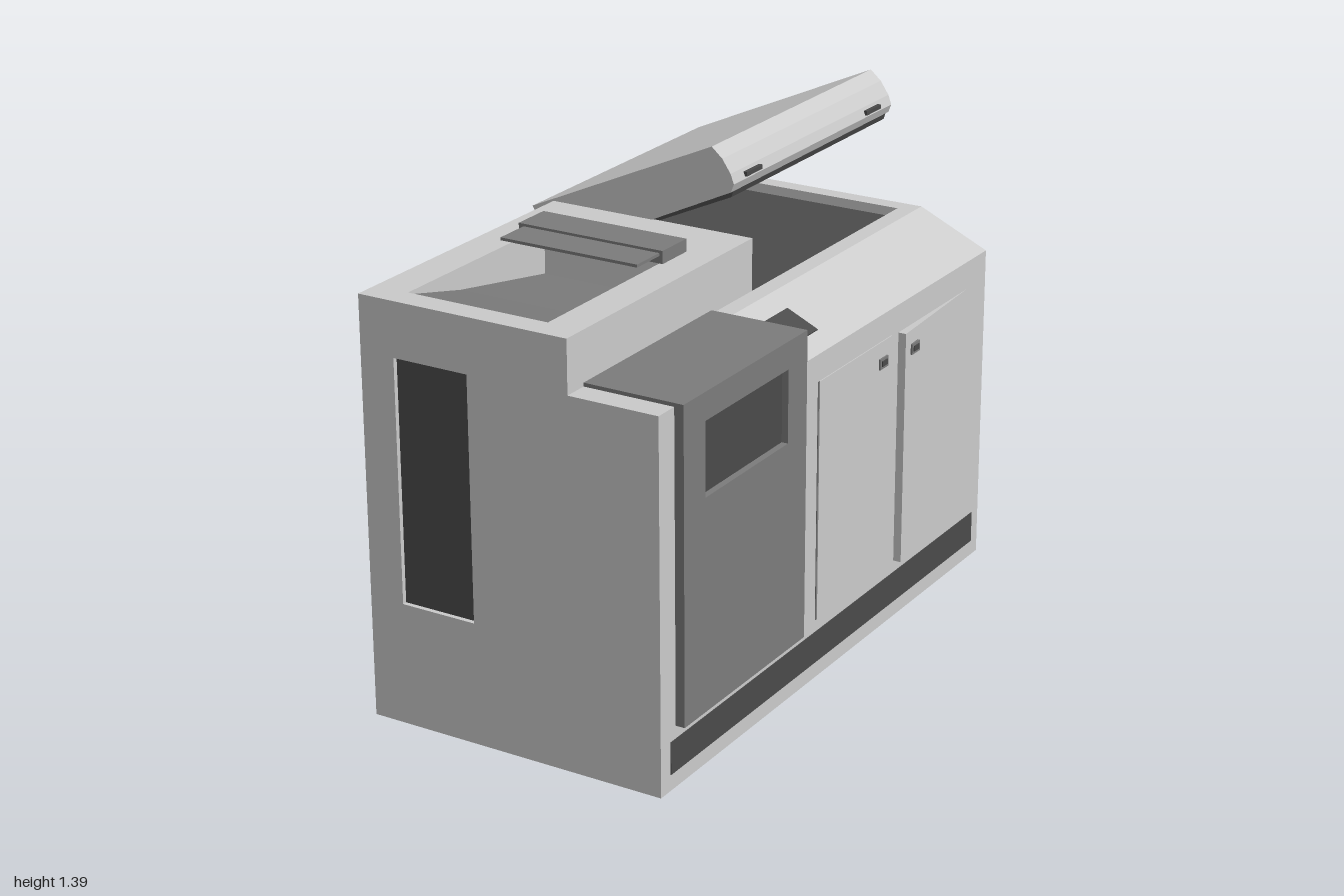
import * as THREE from 'three';

const GREY = 0xcccccc, MID = 0x7c7c7c, DARK = 0x4b4b4b, BLACK = 0x3c3c3c;

export function createModel() {
  const root = new THREE.Group();
  const mats = {};
  const mat = (c) => (mats[c] ??= new THREE.MeshStandardMaterial({ color: c }));

  const add = (name, geo, color = GREY, parent = root) => {
    const mesh = new THREE.Mesh(geo, mat(color));
    mesh.name = name;
    parent.add(mesh);
    return mesh;
  };
  const box = (name, x0, x1, y0, y1, z0, z1, color, parent) => {
    const g = new THREE.BoxGeometry(x1 - x0, y1 - y0, z1 - z0);
    g.translate((x0 + x1) / 2, (y0 + y1) / 2, (z0 + z1) / 2);
    return add(name, g, color, parent);
  };
  const vecs = (pts) => pts.map(([a, b]) => new THREE.Vector2(a, b));
  const rect = (a0, a1, b0, b1) => [[a0, b0], [a1, b0], [a1, b1], [a0, b1]];
  const solid = (pts, depth, hole) => {
    const shape = new THREE.Shape(vecs(pts));
    if (hole) shape.holes.push(new THREE.Path(vecs(hole)));
    return new THREE.ExtrudeGeometry(shape, { depth, bevelEnabled: false });
  };
  // (x, y) outline swept along z
  const alongZ = (name, pts, z0, z1, color, hole, parent) =>
    add(name, solid(pts, z1 - z0, hole).translate(0, 0, z0), color, parent);
  // (z, y) outline swept along x
  const alongX = (name, pts, x0, x1, color, hole, parent) =>
    add(name, solid(pts, x1 - x0, hole).rotateY(-Math.PI / 2).translate(x1, 0, 0), color, parent);

  // Cabinet, as a row of cross-sections from front to back
  const L = -0.416, R = 0.456, TOP = 1.015, HIGH = 1.16;
  const base = [[L, 0], [R, 0]];
  const square = [[R, TOP], [0.2, TOP]];
  const sloped = [[R, 0.92], [0.25, TOP], [0.2, TOP]];
  const high = [[0.2, HIGH], [L, HIGH]];
  const notch = (x0, x1, low, y) => [[x1, y], [x1, low], [x0, low], [x0, y]];
  const cabinet = new THREE.Group();
  cabinet.name = 'cabinet';
  root.add(cabinet);
  const section = (name, pts, z0, z1, hole) => alongZ(name, pts, z0, z1, GREY, hole, cabinet);

  section('frontFace', [...base, ...square, ...high], 0.985, 1, rect(-0.315, -0.095, 0.34, 1.01));
  section('frontRim', [...base, ...square, ...high], 0.93, 0.985);
  section('feederBlock',
    [...base, ...square, [0.2, HIGH], ...notch(-0.315, 0.1, 1.02, HIGH), [L, HIGH]], 0.33, 0.93);
  section('middleBlock', [...base, ...sloped, ...high], 0.13, 0.33);
  section('scannerBlock',
    [...base, ...sloped, ...notch(-0.39, 0.2, 0.985, TOP), [L, TOP]], -0.68, 0.13);
  section('backFace', [...base, ...sloped, [L, TOP]], -0.73, -0.68, rect(-0.21, 0.11, 0.26, 0.84));

  // Dark inset panels
  box('frontPanel', -0.315, -0.095, 0.34, 1.01, 0.984, 0.987, DARK);
  box('scannerGlass', -0.39, 0.2, 0.984, 0.988, -0.68, 0.13, DARK);
  box('outletBack', -0.21, 0.11, 0.26, 0.84, -0.684, -0.678, DARK);
  box('kickStrip', 0.45, R + 0.002, 0.045, 0.135, -0.69, 0.955, DARK);

  // Control panel lying in the sloped shoulder
  const control = add('controlPanel', new THREE.BoxGeometry(0.1, 0.006, 0.175), DARK);
  control.position.set(0.355, 0.9675, 0.225);
  control.rotation.z = -Math.atan2(TOP - 0.92, R - 0.25);

  // Sloped floor of the feeder tray
  alongX('feederFloor', [[0.33, 1.015], [0.93, 1.015], [0.93, 1.155], [0.71, 1.1], [0.33, 1.03]],
    -0.315, 0.1, MID);

  // Feeder cover and its thin flap
  box('feederCover', -0.33, 0.11, 1.16, 1.195, 0.31, 0.425, MID);
  box('feederFlap', -0.315, 0.1, 1.18, 1.188, 0.42, 0.53, MID);

  // Protruding side unit with a recessed window
  const unit = new THREE.Group();
  unit.name = 'sideUnit';
  root.add(unit);
  box('sideUnitBody', 0.2, 0.462, 0.17, 1.025, 0.335, 0.93, MID, unit);
  alongX('sideUnitFrame', rect(0.335, 0.93, 0.17, 1.025), 0.462, 0.482, MID,
    rect(0.43, 0.83, 0.75, 0.95), unit);
  box('sideUnitWindow', 0.46, 0.464, 0.75, 0.95, 0.43, 0.83, DARK, unit);

  // Cabinet doors: one closed, one slightly ajar
  box('closedDoor', 0.44, R + 0.003, 0.17, 0.845, -0.17, 0.225);
  box('doorGroove', 0.44, R + 0.002, 0.17, 0.845, 0.224, 0.231, MID);
  const ajar = solid([[0.44, 0.62], [0.456, 0.62], [0.479, 0.21], [0.44, 0.21]], 0.67);
  add('ajarDoor', ajar.rotateX(-Math.PI / 2).translate(0, 0.17, 0));
  for (const [x, z] of [[R, -0.118], [0.474, -0.265]]) {
    box('doorHandle', x - 0.005, x + 0.008, 0.77, 0.8, z - 0.022, z + 0.022, MID);
    box('doorLatch', x, x + 0.011, 0.778, 0.793, z - 0.014, z + 0.014, DARK);
  }

  // Output trays at the back: thin bent sheets
  const trays = [
    [[-0.69, 0.745], [-0.93, 0.858], [-0.975, 0.848]],
    [[-0.69, 0.612], [-0.935, 0.71], [-0.98, 0.699]],
    [[-0.69, 0.453], [-0.955, 0.453], [-1, 0.425]],
  ];
  for (const t of trays) {
    const under = t.map(([z, y]) => [z, y - 0.008]).reverse();
    alongX('outputTray', [...t, ...under], -0.21, 0.11, BLACK);
  }
  alongX('bottomTray', [[-0.73, 0.26], [-0.88, 0.26], [-0.88, 0.278], [-0.73, 0.312]],
    -0.235, 0.13, BLACK);

  // Raised scanner lid, hinged on the right-hand edge of the cabinet
  const lid = new THREE.Group();
  lid.name = 'scannerLid';
  root.add(lid);
  alongZ('lidShell', [[-0.416, 1.012], [0.138, 1.275], [0.147, 1.298], [0.137, 1.325],
    [0.112, 1.362], [0.08, 1.39], [-0.485, 1.135]], -0.73, 0.135, GREY, null, lid);
  alongZ('lidPad', [[-0.41, 1.01], [0.132, 1.258], [0.137, 1.275], [-0.41, 1.017]],
    -0.715, 0.122, DARK, null, lid);
  for (const z of [0.035, -0.62])
    box('lidGrip', 0.13, 0.151, 1.304, 1.316, z - 0.04, z + 0.04, DARK, lid);

  return root;
}
